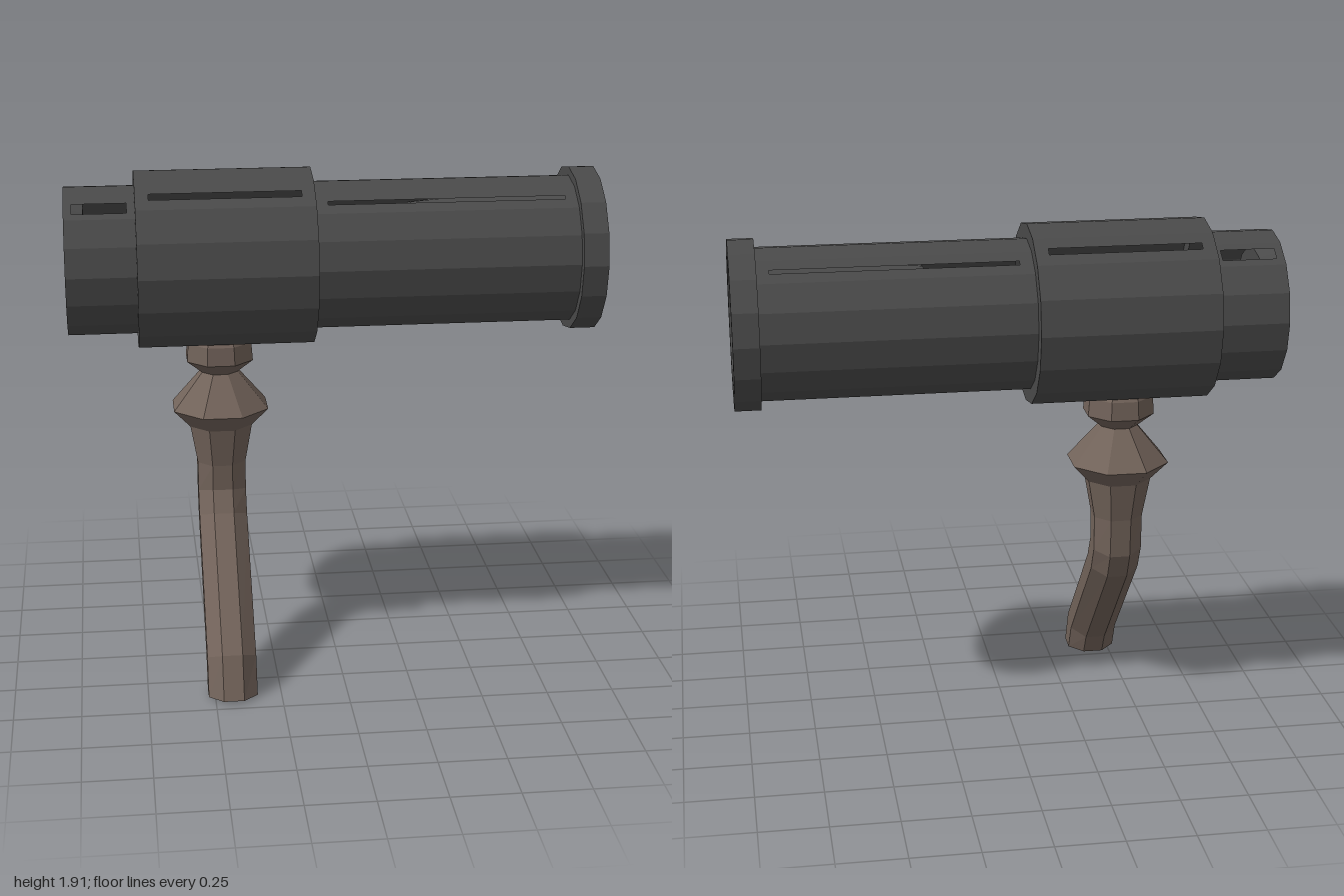
import * as THREE from 'three';
import { mergeGeometries } from 'three/addons/utils/BufferGeometryUtils.js';

const SIDES = 16, AXIS_Y = 1.575, AXIS_Z = -0.125;
const mat = (color) => new THREE.MeshStandardMaterial({ color, flatShading: true, side: THREE.DoubleSide });
const metal = mat(0x4a4a4a), wood = mat(0x72635a);

function rectangle(Kind, x0, x1, h) {
  const s = new Kind();
  s.moveTo(x0, -h);
  s.lineTo(x1, -h);
  s.lineTo(x1, h);
  s.lineTo(x0, h);
  s.closePath();
  return s;
}

// Faceted tube along x; the two upper facets carry a long slot
function slottedTube(name, r, x0, x1, s0, s1, slotWidth) {
  const panels = [];
  for (let i = 0; i < SIDES; i++) {
    const shape = rectangle(THREE.Shape, x0, x1, r * Math.sin(Math.PI / SIDES));
    if (i === 10 || i === 13) shape.holes.push(rectangle(THREE.Path, s0, s1, slotWidth / 2));
    const g = new THREE.ShapeGeometry(shape);
    g.translate(0, 0, r * Math.cos(Math.PI / SIDES));
    g.rotateX((i + 0.5) * 2 * Math.PI / SIDES);
    panels.push(g);
  }
  const mesh = new THREE.Mesh(mergeGeometries(panels), metal);
  mesh.name = name;
  return mesh;
}

// Surface turned about x from [radius, x] pairs
function turned(name, profile) {
  const g = new THREE.LatheGeometry(profile.map(([r, x]) => new THREE.Vector2(r, x)), SIDES);
  g.rotateZ(-Math.PI / 2);
  const mesh = new THREE.Mesh(g, metal);
  mesh.name = name;
  return mesh;
}

// Eight-sided handle lofted through rings: [radius in x, front z, front y, back z, back y]
function handleGeometry() {
  const straight = [[0.09, 1.3], [0.12, 1.25], [0.125, 1.18], [0.068, 1.13],
    [0.18, 0.99], [0.118, 0.92], [0.092, 0.77]]
    .map(([r, y]) => [r, AXIS_Z + r, y, AXIS_Z - r, y]);
  const rings = [...straight,
    [0.092, -0.037, 0.67, -0.21, 0.62],
    [0.092, 0.01, 0.59, -0.165, 0.52],
    [0.092, 0.4, 0.17, 0.235, 0.085],
    [0.092, 0.46, 0.01, 0.28, 0]];
  const n = 8, pos = [], idx = [], k = 1 / Math.cos(Math.PI / n);
  for (const [r, zf, yf, zb, yb] of rings) {
    for (let i = 0; i < n; i++) {
      const a = (i + 0.5) * 2 * Math.PI / n, c = Math.cos(a) * k / 2;
      pos.push(Math.sin(a) * k * r, (yf + yb) / 2 + c * (yf - yb), (zf + zb) / 2 + c * (zf - zb));
    }
  }
  for (let j = 0; j < rings.length - 1; j++) {
    for (let i = 0; i < n; i++) {
      const a = j * n + i, b = j * n + (i + 1) % n;
      idx.push(a, a + n, b, b, a + n, b + n);
    }
  }
  // End caps
  const last = (rings.length - 1) * n;
  for (let i = 1; i < n - 1; i++) {
    idx.push(0, i, i + 1, last, last + i + 1, last + i);
  }
  const g = new THREE.BufferGeometry();
  g.setAttribute('position', new THREE.Float32BufferAttribute(pos, 3));
  g.setIndex(idx);
  g.computeVertexNormals();
  return g;
}

export function createModel() {
  const model = new THREE.Group();
  model.name = 'handheldScope';

  const barrel = new THREE.Group();
  barrel.name = 'barrel';
  barrel.position.set(0, AXIS_Y, AXIS_Z);
  barrel.add(
    slottedTube('eyepieceTube', 0.28, -1, -0.74, -0.97, -0.77, 0.05),
    slottedTube('sleeve', 0.335, -0.74, -0.08, -0.69, -0.13, 0.03),
    slottedTube('mainTube', 0.28, -0.08, 0.905, -0.03, 0.86, 0.018),
    turned('sleeveRearShoulder', [[0.28, -0.74], [0.335, -0.74]]),
    turned('sleeveFrontShoulder', [[0.335, -0.08], [0.28, -0.08]]),
    // Front rim, tapering bore and lens
    turned('frontRimAndLens', [[0.28, 0.905], [0.3125, 0.905], [0.3125, 1], [0.25, 1], [0.192, 0.3], [0, 0.3]]),
    // Stepped eyepiece recess and rear lens
    turned('eyepieceRecess', [[0, -0.86], [0.155, -0.86], [0.165, -0.93], [0.215, -0.93], [0.235, -1], [0.28, -1]]),
  );

  const handle = new THREE.Mesh(handleGeometry(), wood);
  handle.name = 'handle';
  handle.position.x = -0.433;

  model.add(barrel, handle);
  return model;
}
